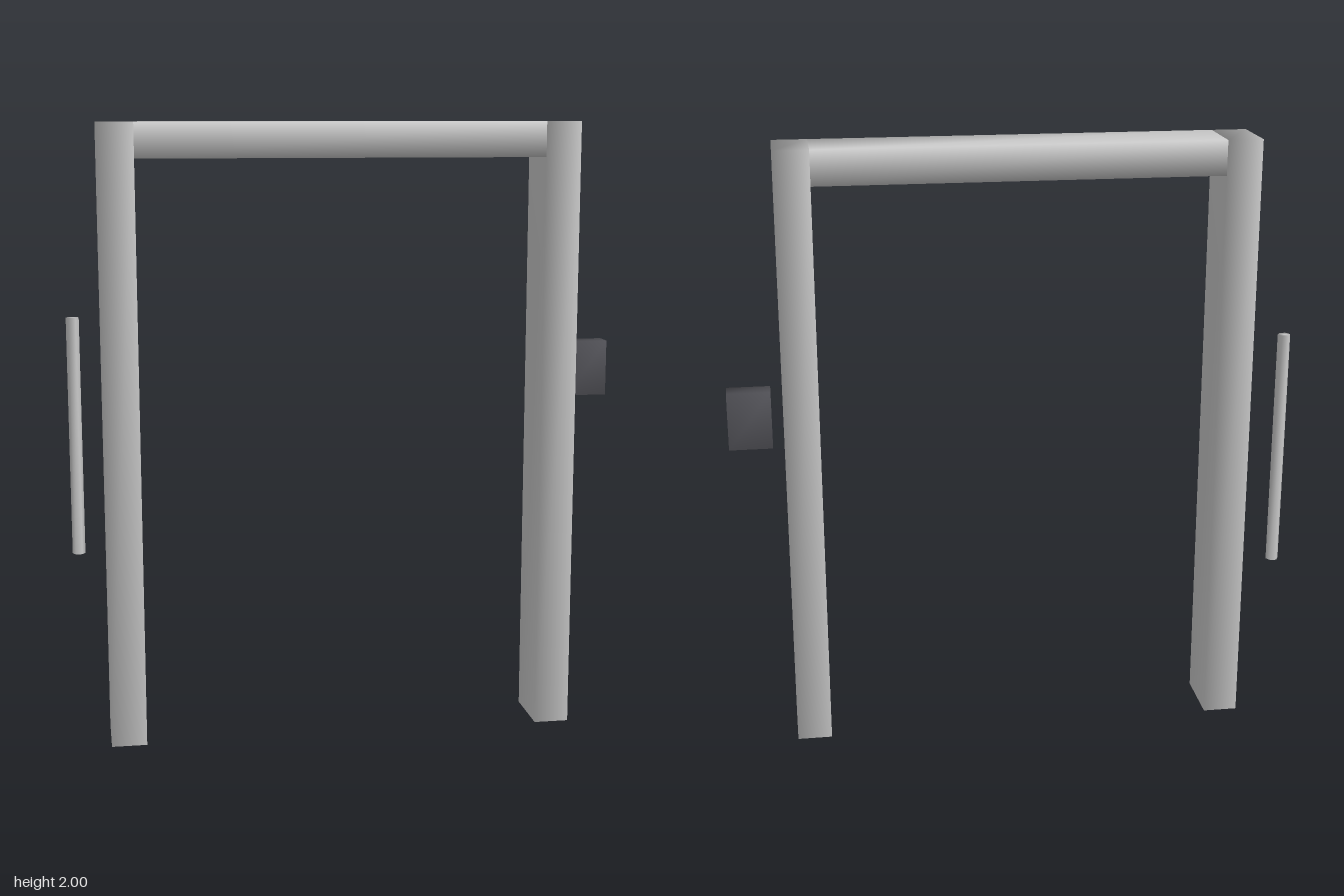
import * as THREE from 'three';
import { mergeVertices } from 'three/addons/utils/BufferGeometryUtils.js';

const grey = new THREE.MeshStandardMaterial({ color: 0xcccccc });
const dark = new THREE.MeshStandardMaterial({ color: 0x58585e });

// Weld corners so the shading runs smoothly across the edges
function soften(geometry) {
  geometry.deleteAttribute('normal');
  geometry.deleteAttribute('uv');
  const welded = mergeVertices(geometry, 1e-4);
  welded.computeVertexNormals();
  return welded;
}

// Box given by its extents on each axis
function block(name, [x0, x1], [y0, y1], [z0, z1], material = grey) {
  const mesh = new THREE.Mesh(soften(new THREE.BoxGeometry(x1 - x0, y1 - y0, z1 - z0)), material);
  mesh.position.set((x0 + x1) / 2, (y0 + y1) / 2, (z0 + z1) / 2);
  mesh.name = name;
  return mesh;
}

export function createModel() {
  const model = new THREE.Group();
  model.name = 'doorFrame';
  const depth = [-0.062, 0.145];

  // Two posts and the lintel between them
  model.add(block('rightPost', [-0.8, -0.686], [0, 2], depth));
  model.add(block('leftPost', [0.617, 0.731], [0, 2], depth));
  model.add(block('lintel', [-0.686, 0.617], [1.888, 2], depth));

  // Wall switch beside the left post
  model.add(block('wallSwitch', [0.768, 0.905], [1.08, 1.265], [-0.145, -0.078], dark));

  // Hexagonal pull bar beside the right post
  const bar = new THREE.Mesh(
    soften(new THREE.CylinderGeometry(0.021, 0.021, 0.786, 6, 1, false, Math.PI / 2)), grey);
  bar.position.set(-0.887, 0.982, -0.105);
  bar.name = 'pullBar';
  model.add(bar);

  return model;
}
